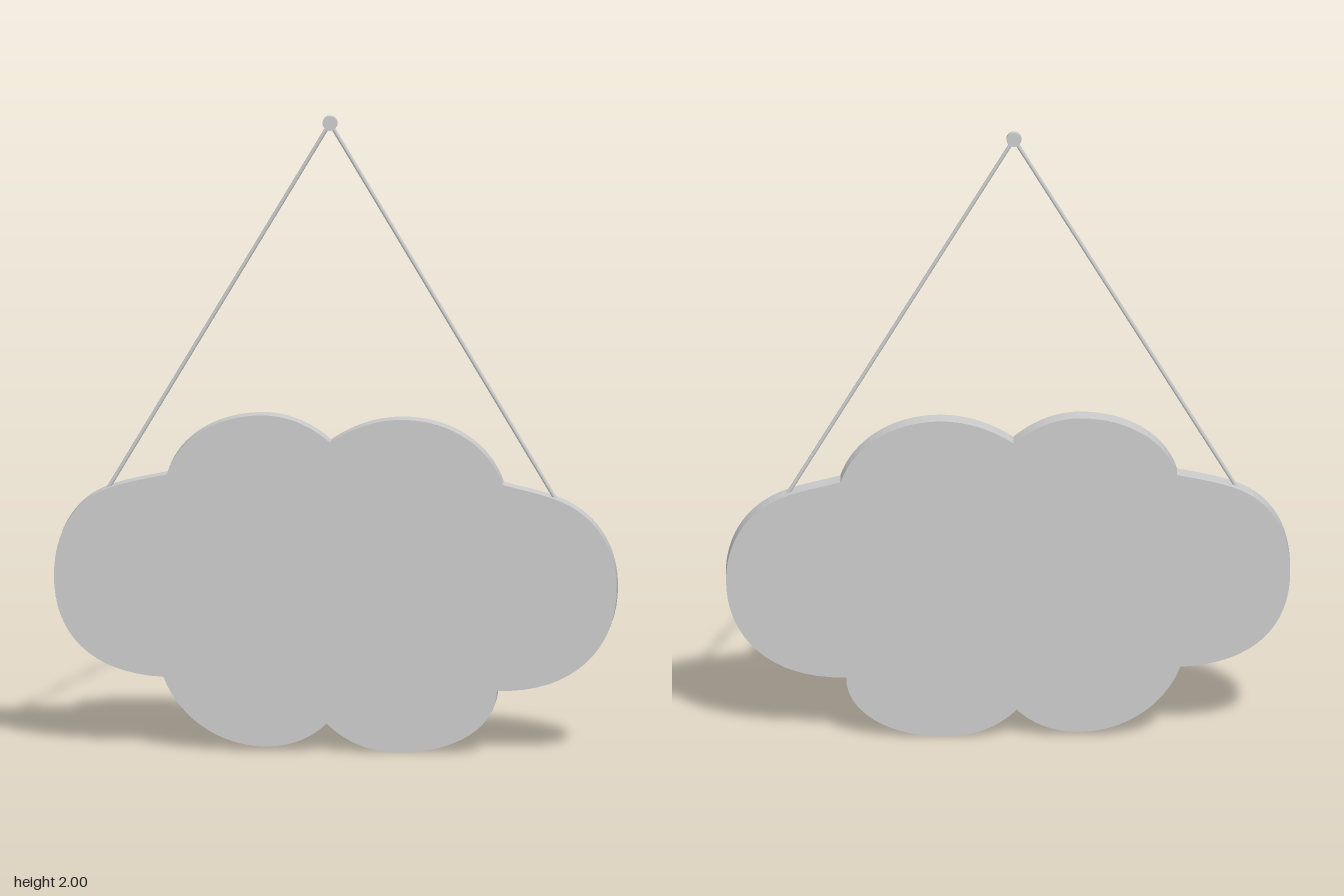
import * as THREE from 'three';

export function createModel() {
  const group = new THREE.Group();
  const material = new THREE.MeshStandardMaterial({ color: 0xcccccc });
  const add = (name, geometry) => {
    const mesh = new THREE.Mesh(geometry, material);
    mesh.name = name;
    group.add(mesh);
    return mesh;
  };

  // Cloud board: six lobes, each split at its outermost point
  const thickness = 0.058;
  const outline = new THREE.Shape();
  outline.moveTo(-0.018, 0.975);
  [
    [-0.075, 1.025, -0.15, 1.06, -0.23, 1.058], // upper left lobe
    [-0.37, 1.056, -0.49, 0.985, -0.525, 0.868],
    [-0.585, 0.855, -0.645, 0.845, -0.705, 0.823], // left lobe
    [-0.81, 0.785, -0.875, 0.685, -0.875, 0.545],
    [-0.875, 0.36, -0.76, 0.24, -0.535, 0.23],
    [-0.485, 0.1, -0.36, 0.015, -0.22, 0.015], // lower left lobe
    [-0.145, 0.015, -0.08, 0.04, -0.028, 0.09],
    [0.025, 0.035, 0.1, 0.001, 0.2, 0.001], // lower right lobe
    [0.37, 0.004, 0.5, 0.085, 0.5, 0.2],
    [0.74, 0.195, 0.872, 0.34, 0.872, 0.525], // right lobe
    [0.872, 0.66, 0.8, 0.765, 0.677, 0.807],
    [0.625, 0.825, 0.57, 0.835, 0.517, 0.85],
    [0.48, 0.965, 0.36, 1.05, 0.21, 1.05], // upper right lobe
    [0.125, 1.05, 0.045, 1.02, -0.018, 0.975],
  ].forEach((c) => outline.bezierCurveTo(...c));
  const board = new THREE.ExtrudeGeometry(outline, {
    depth: thickness, bevelEnabled: false, curveSegments: 16,
  });
  board.translate(0, 0, -thickness / 2);
  add('cloudBoard', board);

  // Hanging cords from the board's shoulders up to the peg
  const peak = new THREE.Vector3(-0.02, 1.977, 0);
  const cords = { rightCord: [-0.71, 0.815], leftCord: [0.68, 0.802] };
  for (const [name, [x, y]] of Object.entries(cords)) {
    const end = new THREE.Vector3(x, y, 0);
    const direction = peak.clone().sub(end);
    const cord = add(name, new THREE.CylinderGeometry(0.006, 0.006, direction.length(), 12));
    cord.position.copy(end).add(peak).multiplyScalar(0.5);
    cord.quaternion.setFromUnitVectors(new THREE.Vector3(0, 1, 0), direction.normalize());
  }

  // Round peg at the top
  const peg = add('hangingPeg', new THREE.CylinderGeometry(0.023, 0.023, 0.016, 32));
  peg.rotation.x = Math.PI / 2;
  peg.position.copy(peak);

  return group;
}
